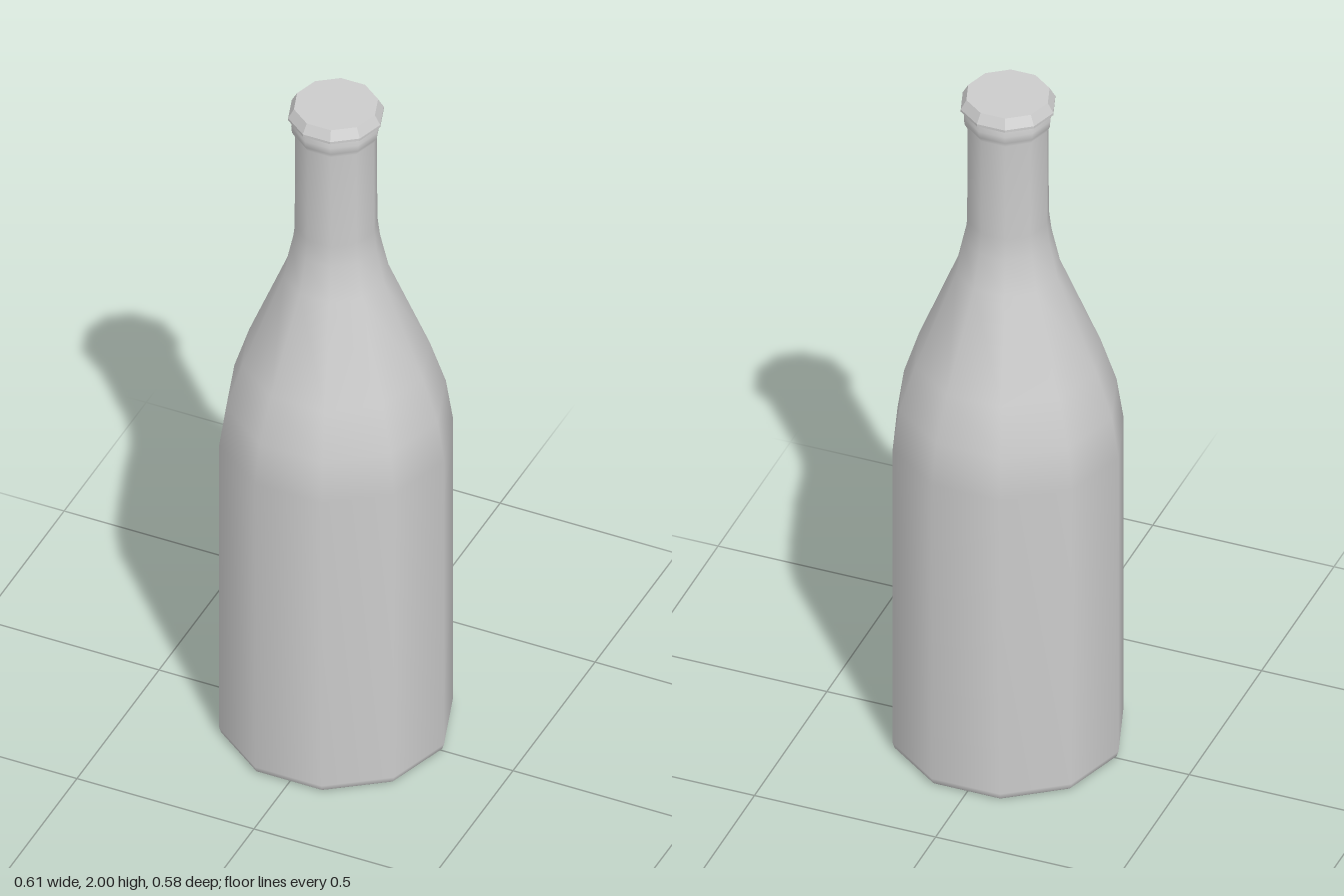
import * as THREE from 'three';

const SIDES = 10;

// Ten-sided turned part with a corner on the x axis
function turned(name, profile, flatShading = false) {
  const points = profile.map(([r, y]) => new THREE.Vector2(r, y));
  const geometry = new THREE.LatheGeometry(points, SIDES, Math.PI / 2);
  const material = new THREE.MeshStandardMaterial({ color: 0xcccccc, flatShading });
  const mesh = new THREE.Mesh(geometry, material);
  mesh.name = name;
  return mesh;
}

export function createModel() {
  const bottle = new THREE.Group();
  bottle.name = 'bottle';

  // Flat underside
  bottle.add(turned('base', [[0, 0], [0.293, 0]], true));

  // Smooth body, sloping shoulder, neck and rounded collar
  bottle.add(turned('body', [
    [0.293, 0], [0.3, 0.006], [0.305, 0.022],
    [0.305, 0.94], [0.287, 1.06], [0.245, 1.19],
    [0.137, 1.46], [0.115, 1.56], [0.108, 1.62],
    [0.107, 1.91], [0.115, 1.925], [0.117, 1.945], [0.11, 1.97],
  ]));

  // Faceted cap with a bevelled rim
  bottle.add(turned('cap', [
    [0, 1.966], [0.125, 1.966], [0.125, 1.973], [0.11, 2], [0, 2],
  ], true));

  return bottle;
}
